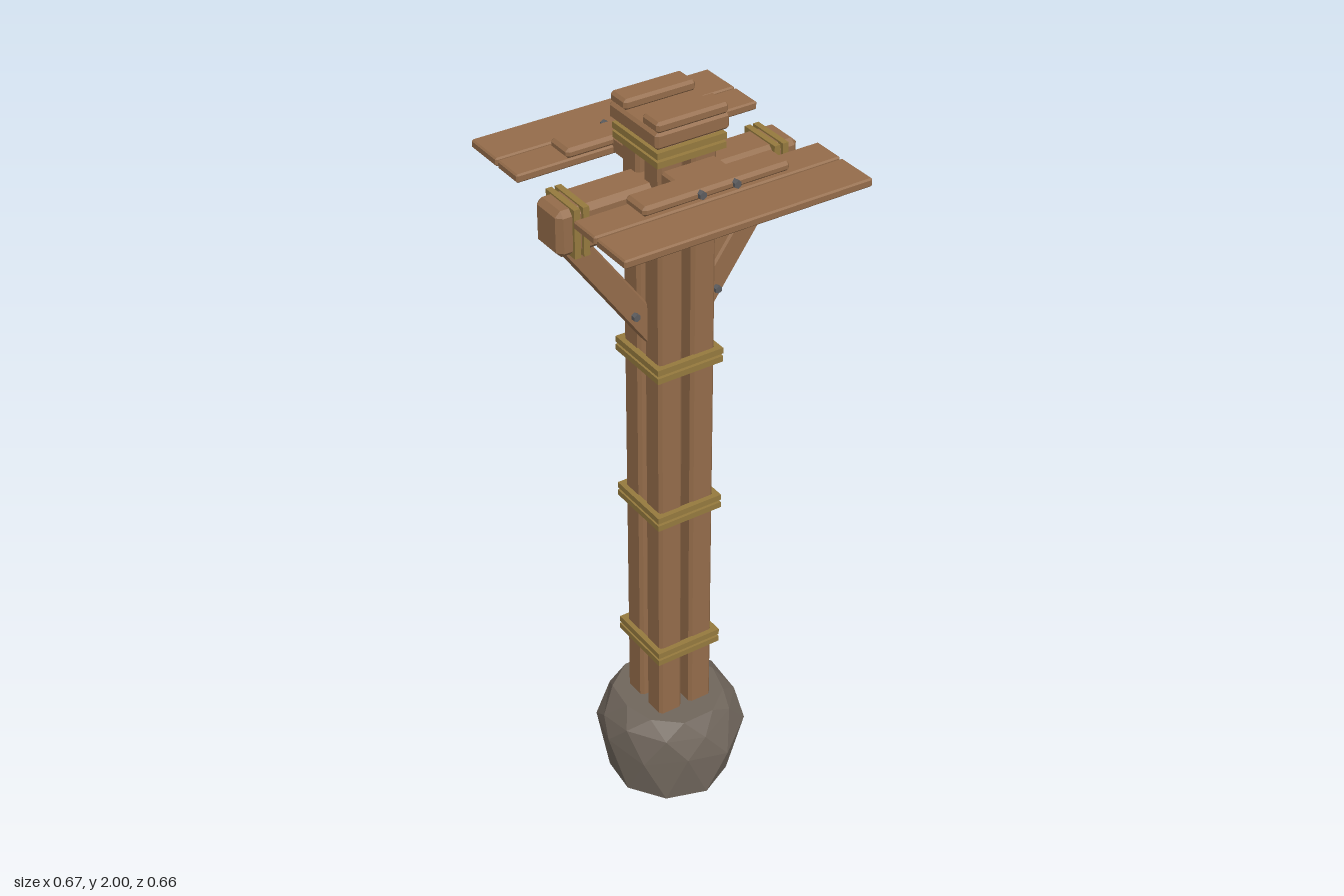
import * as THREE from 'three';
import { ConvexGeometry } from 'three/addons/geometries/ConvexGeometry.js';

const material = (name, color) => {
  const m = new THREE.MeshStandardMaterial({ color, flatShading: true });
  m.name = name;
  return m;
};

// Box with every edge chamfered by d
function chamferBox(w, h, l, d) {
  const half = [w / 2, h / 2, l / 2], points = [];
  for (let axis = 0; axis < 3; axis++)
    for (const sx of [-1, 1]) for (const sy of [-1, 1]) for (const sz of [-1, 1]) {
      const s = [sx, sy, sz];
      points.push(new THREE.Vector3(...half.map((v, i) => s[i] * (i === axis ? v : v - d))));
    }
  return new ConvexGeometry(points);
}

// Faceted boulder: a drum of irregular rings closed top and bottom
function boulder() {
  const sides = 10, rings = [[0, 0.175], [0.13, 0.195], [0.198, 0.178], [0.237, 0.145]];
  const jitter = [0.01, -0.008, 0.004, -0.012, 0.006, 0, -0.006, 0.01, -0.004, 0.005];
  const pos = [], index = [];
  rings.forEach(([y, r], k) => {
    for (let i = 0; i < sides; i++) {
      const a = ((i + (k % 2) * 0.5) / sides) * Math.PI * 2;
      const rr = r + jitter[(i * 3 + k * 4) % sides] * 0.8;
      const yy = k === 1 || k === 2 ? y + jitter[(i + k * 3) % sides] * 1.5 : y;
      pos.push(Math.sin(a) * rr, yy, Math.cos(a) * rr);
    }
  });
  for (let k = 0; k < rings.length - 1; k++)
    for (let i = 0; i < sides; i++) {
      const j = (i + 1) % sides, a = k * sides + i, b = k * sides + j, c = a + sides, d = b + sides;
      if (k % 2) index.push(a, b, d, a, d, c).valueOf;
      else index.push(a, b, c, b, d, c);
    }
  const top = (rings.length - 1) * sides;
  for (let i = 1; i < sides - 1; i++) index.push(0, i + 1, i, top, top + i, top + i + 1);
  const g = new THREE.BufferGeometry();
  g.setAttribute('position', new THREE.Float32BufferAttribute(pos, 3));
  g.setIndex(index);
  const flat = g.toNonIndexed();
  flat.computeVertexNormals();
  return flat;
}

export function createModel() {
  const wood = material('wood', 0x946c4a);
  const rope = material('rope', 0x957a3e);
  const stone = material('stone', 0x70665c);
  const iron = material('iron', 0x5c5c5e);
  const model = new THREE.Group();
  model.name = 'timberPillar';

  function add(name, geometry, mat, x = 0, y = 0, z = 0) {
    const mesh = new THREE.Mesh(geometry, mat);
    mesh.name = name;
    mesh.position.set(x, y, z);
    model.add(mesh);
    return mesh;
  }
  // Chamfered timber given by its extents
  const timber = (name, x0, x1, y0, y1, z0, z1, d) =>
    add(name, chamferBox(x1 - x0, y1 - y0, z1 - z0, d), wood, (x0 + x1) / 2, (y0 + y1) / 2, (z0 + z1) / 2);

  // Rectangular rope loop, lying in the local XY plane
  function loop(w, h, t, depth) {
    const shape = new THREE.Shape([[-w, -h], [w, -h], [w, h], [-w, h]].map(p => new THREE.Vector2(...p)));
    const a = w - t, b = h - t;
    shape.holes.push(new THREE.Path([[-a, -b], [-a, b], [a, b], [a, -b]].map(p => new THREE.Vector2(...p))));
    return new THREE.ExtrudeGeometry(shape, { depth, bevelEnabled: false }).translate(0, 0, -depth / 2);
  }
  const bolt = (name, x, y, z) =>
    add(name, new THREE.CylinderGeometry(0.01, 0.01, 0.02, 6).rotateX(Math.PI / 2), iron, x, y, z);

  // Stone footing
  add('footing', boulder(), stone);

  // Four posts with narrow gaps between them
  for (const x of [-1, 1]) for (const z of [-1, 1])
    add('post', chamferBox(0.068, 1.83, 0.068, 0.008), wood, x * 0.046, 1.015, z * 0.046);

  // Rope lashings around the posts, in pairs
  for (const y of [0.443, 0.883, 1.323, 1.903]) for (const s of [-1, 1])
    add('postRope', loop(0.094, 0.094, 0.016, 0.016).rotateX(Math.PI / 2), rope, 0, y + s * 0.0115, 0);

  // Cap plate with two bars on top
  timber('capPlate', -0.1, 0.1, 1.932, 1.974, -0.1, 0.1, 0.007);
  for (const s of [-1, 1])
    add('capBar', chamferBox(0.194, 0.028, 0.066, 0.007), wood, 0, 1.986, s * 0.067);

  // Side arms with braces, lashings and bolts
  for (const s of [-1, 1]) {
    add('arm', chamferBox(0.318, 0.118, 0.106, 0.014), wood, s * 0.172, 1.762, 0);
    for (const x of [0.262, 0.286])
      add('armRope', loop(0.061, 0.063, 0.012, 0.016).rotateY(Math.PI / 2), rope, s * x, 1.762, 0);

    const outline = [[0.312, 1.71], [0.235, 1.71], [0.074, 1.487], [0.074, 1.375]];
    const shape = new THREE.Shape(outline.map(([x, y]) => new THREE.Vector2(s * x, y)));
    add('brace', new THREE.ExtrudeGeometry(shape, {
      depth: 0.042, bevelEnabled: true, bevelSegments: 1, bevelSize: 0.005, bevelThickness: 0.006, bevelOffset: -0.005,
    }).translate(0, 0, -0.021), wood);

    for (const z of [-1, 1]) {
      bolt('armBolt', s * 0.135, 1.762, z * 0.055);
      bolt('braceBolt', s * 0.116, 1.47, z * 0.03);
    }
  }

  // Front and back decks: two planks, a cleat and its tongue to the posts
  for (const s of [-1, 1]) {
    add('innerPlank', chamferBox(0.666, 0.022, 0.088, 0.004), wood, 0, 1.831, s * 0.166);
    add('outerPlank', chamferBox(0.666, 0.022, 0.116, 0.004), wood, 0, 1.831, s * 0.274);
    add('cleat', chamferBox(0.398, 0.026, 0.078, 0.008), wood, 0, 1.853, s * 0.161);
    add('tongue', chamferBox(0.148, 0.044, 0.07, 0.006), wood, 0, 1.843, s * 0.11);
    for (const x of [-0.047, 0.047]) bolt('cleatBolt', x, 1.855, s * 0.199);
  }
  return model;
}
